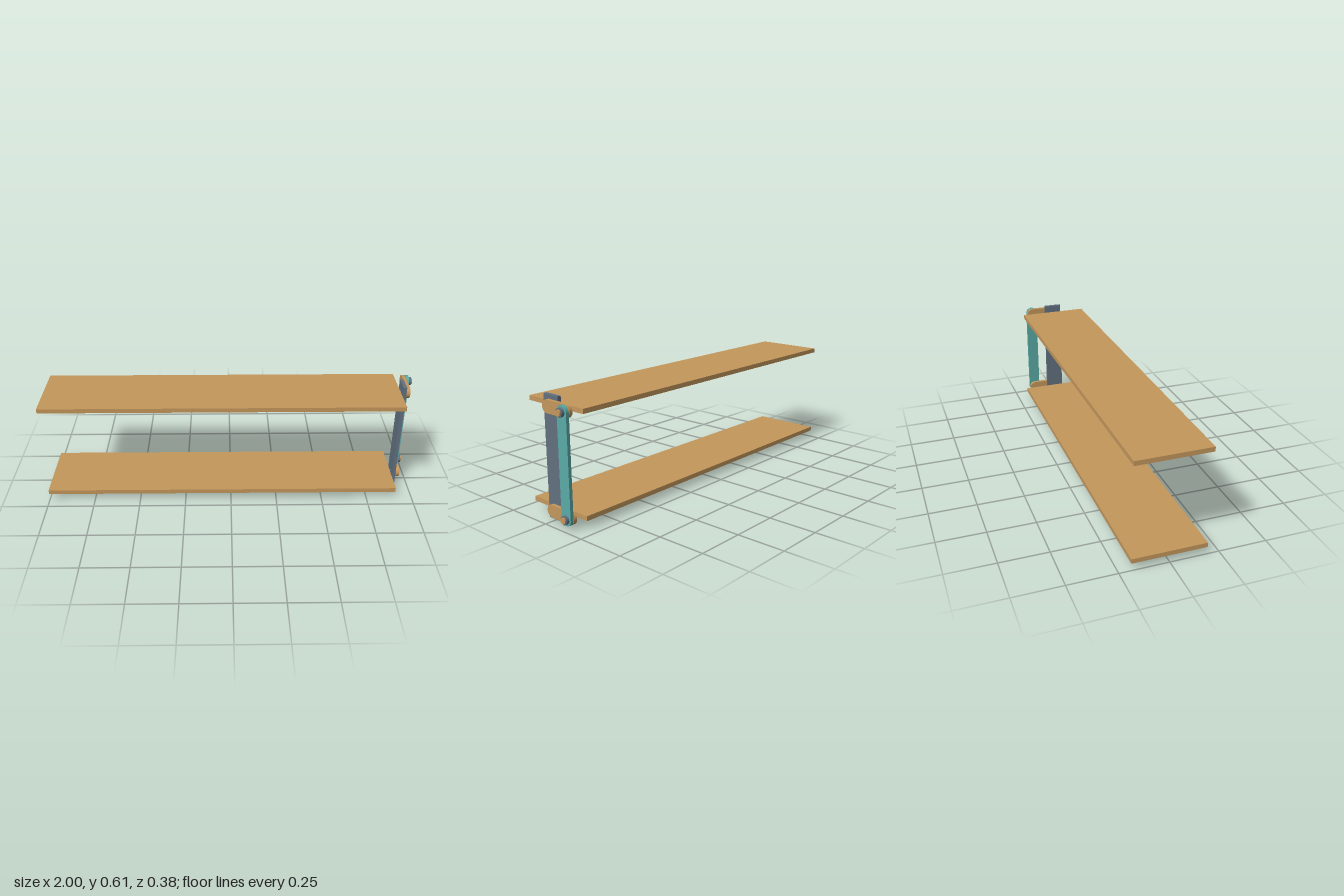
import * as THREE from 'three';

const wood = new THREE.MeshStandardMaterial({ color: 0xc4975c });
wood.name = 'wood';
const slate = new THREE.MeshStandardMaterial({ color: 0x627180 });
slate.name = 'slate';
const teal = new THREE.MeshStandardMaterial({ color: 0x5aaba7 });
teal.name = 'teal';

const LEVELS = [0.051, 0.562]; // heights of the two pivots
const PIN_Z = -0.127;
const BAR_R = 0.032;

function add(group, name, geometry, material, x, y, z) {
  const mesh = new THREE.Mesh(geometry, material);
  mesh.name = name;
  mesh.position.set(x, y, z);
  group.add(mesh);
  return mesh;
}

// Round-ended bar: starts at its first pivot, runs along +X of the shape, thickness along x
function barGeometry(length, thickness) {
  const s = new THREE.Shape();
  s.moveTo(0, -BAR_R);
  s.lineTo(length, -BAR_R);
  s.absarc(length, 0, BAR_R, -Math.PI / 2, Math.PI / 2, false);
  s.lineTo(0, BAR_R);
  s.absarc(0, 0, BAR_R, Math.PI / 2, Math.PI * 1.5, false);
  const g = new THREE.ExtrudeGeometry(s, { depth: thickness, bevelEnabled: false, curveSegments: 20 });
  return g.rotateY(Math.PI / 2); // shape +X -> -z, depth -> +x
}

// Cylinder lying along x between two positions
function rod(group, name, material, radius, x0, x1, y, z) {
  const g = new THREE.CylinderGeometry(radius, radius, x1 - x0, 32).rotateZ(Math.PI / 2);
  return add(group, name, g, material, (x0 + x1) / 2, y, z);
}

export function createModel() {
  const model = new THREE.Group();
  model.name = 'linkedLouvers';

  // Upright side post
  add(model, 'sidePost', new THREE.BoxGeometry(0.019, 0.612, 0.1), slate, 0.924, 0.306, 0);

  LEVELS.forEach((y, i) => {
    const level = new THREE.Group();
    level.name = i ? 'upperLouver' : 'lowerLouver';
    model.add(level);

    // Slat, its axle through the post, and the crank arm
    add(level, 'slat', new THREE.BoxGeometry(1.908, 0.024, 0.38), wood, -0.046, y, 0);
    rod(level, 'axle', slate, 0.011, 0.9, 0.945, y, 0);
    add(level, 'crankArm', barGeometry(-PIN_Z, 0.018), wood, 0.941, y, 0);

    // Pivot pin with its retaining collar
    rod(level, 'pivotPin', wood, 0.016, 0.95, 1.0, y, PIN_Z);
    rod(level, 'pinCollar', slate, 0.022, 0.978, 0.994, y, PIN_Z);
  });

  // Connecting link joining both crank arms
  const link = barGeometry(LEVELS[1] - LEVELS[0], 0.017).rotateX(Math.PI / 2);
  add(model, 'connectingLink', link, teal, 0.962, LEVELS[0], PIN_Z);

  return model;
}
